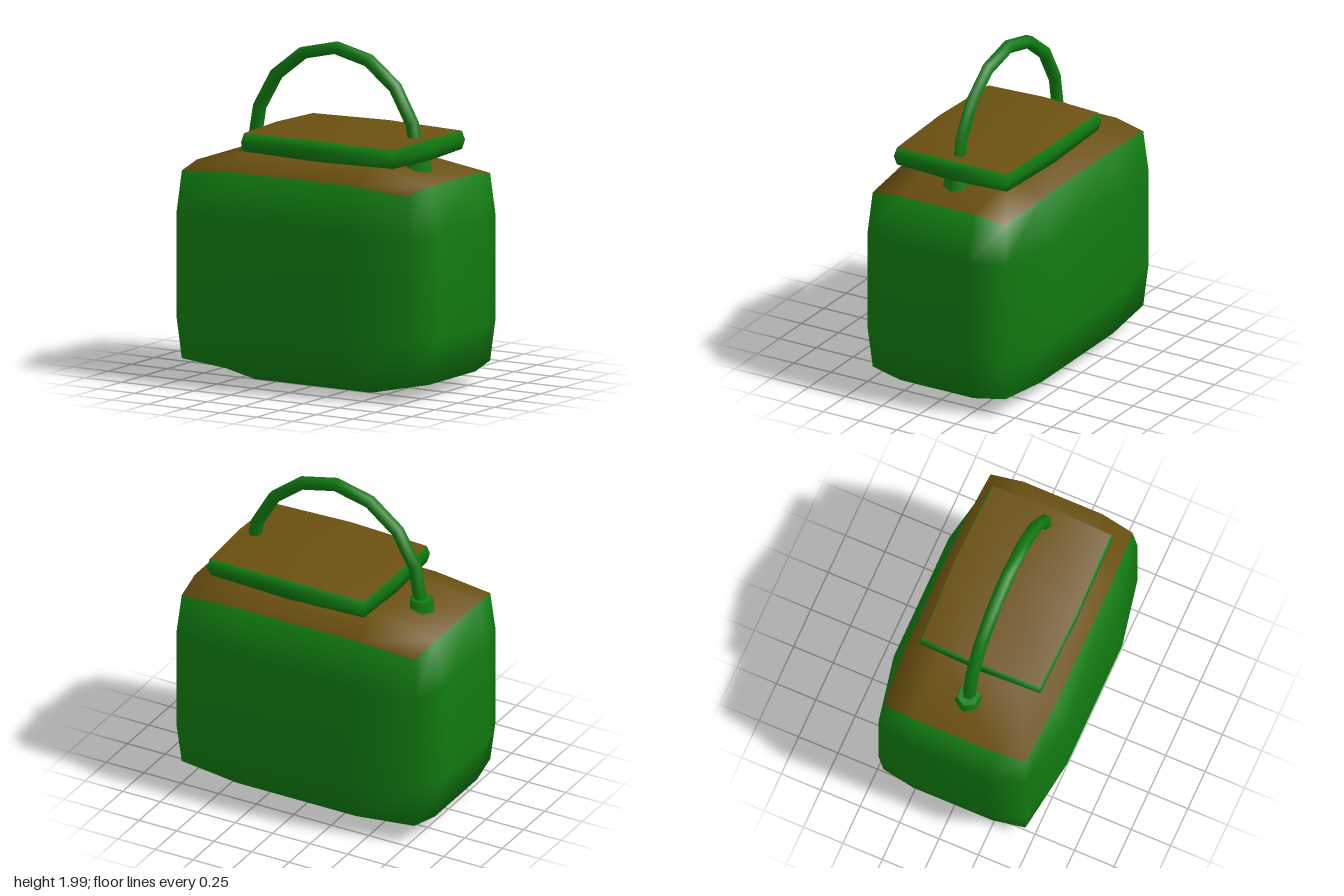
import * as THREE from 'three';
import { mergeVertices } from 'three/addons/utils/BufferGeometryUtils.js';

const green = new THREE.MeshStandardMaterial({ color: 0x107a10 });
const brown = new THREE.MeshStandardMaterial({ color: 0x6b5010 });
// Box sides in order +x, -x, +y, -y, +z, -z: only the top is brown
const topBrown = [green, green, brown, green, green, green];

// Pillow-like box. face, edge and corner give the half sizes reached by vertices
// lying on one, two or three sides; inner gives the grid lines between them.
function softBox(segments, inner, face, edge, corner) {
  const box = new THREE.BoxGeometry(2, 2, 2, segments, segments, segments);
  const pos = box.attributes.position;
  for (let i = 0; i < pos.count; i++) {
    const p = [pos.getX(i), pos.getY(i), pos.getZ(i)];
    const outer = p.map((v) => Math.abs(v) > 0.99);
    const reach = [face, edge, corner][outer.filter(Boolean).length - 1];
    const q = p.map((v, k) => {
      if (Math.abs(v) < 0.01) return 0;
      return Math.sign(v) * (outer[k] ? reach[k] : inner[k]);
    });
    pos.setXYZ(i, ...q);
  }
  box.deleteAttribute('normal');
  box.deleteAttribute('uv');
  const smooth = mergeVertices(box);
  smooth.computeVertexNormals();
  return smooth;
}

// Upper half of an ellipse, from the left foot to the right foot
class HandleArc extends THREE.Curve {
  getPoint(t, target = new THREE.Vector3()) {
    const a = Math.PI * t;
    return target.set(-0.565 * Math.cos(a), 1.33 + 0.63 * Math.sin(a), 0);
  }
}

export function createModel() {
  const model = new THREE.Group();
  const add = (name, geometry, material, x = 0, y = 0, z = 0) => {
    const mesh = new THREE.Mesh(geometry, material);
    mesh.name = name;
    mesh.position.set(x, y, z);
    model.add(mesh);
    return mesh;
  };

  // Rounded container
  add('body', softBox(3, [0.4, 0.305, 0.25],
    [0.877, 0.672, 0.55], [0.8, 0.585, 0.47], [0.775, 0.555, 0.45]), topBrown, 0, 0.672, 0);

  // Thick lid, shifted to one side
  add('lid', softBox(2, [0, 0, 0],
    [0.53, 0.072, 0.395], [0.525, 0.062, 0.388], [0.513, 0.054, 0.373]), topBrown, 0.117, 1.42, 0);

  // Carrying handle
  add('handle', new THREE.TubeGeometry(new HandleArc(), 8, 0.04, 6), green);

  // Hexagonal handle mounts, leaning with the shoulders
  for (const side of [-1, 1]) {
    const mount = add(side < 0 ? 'rightMount' : 'leftMount',
      new THREE.CylinderGeometry(0.068, 0.088, 0.08, 6, 1, false, Math.PI / 2), green,
      side * 0.572, 1.32, 0);
    mount.rotation.z = -side * 0.04;
  }
  return model;
}
